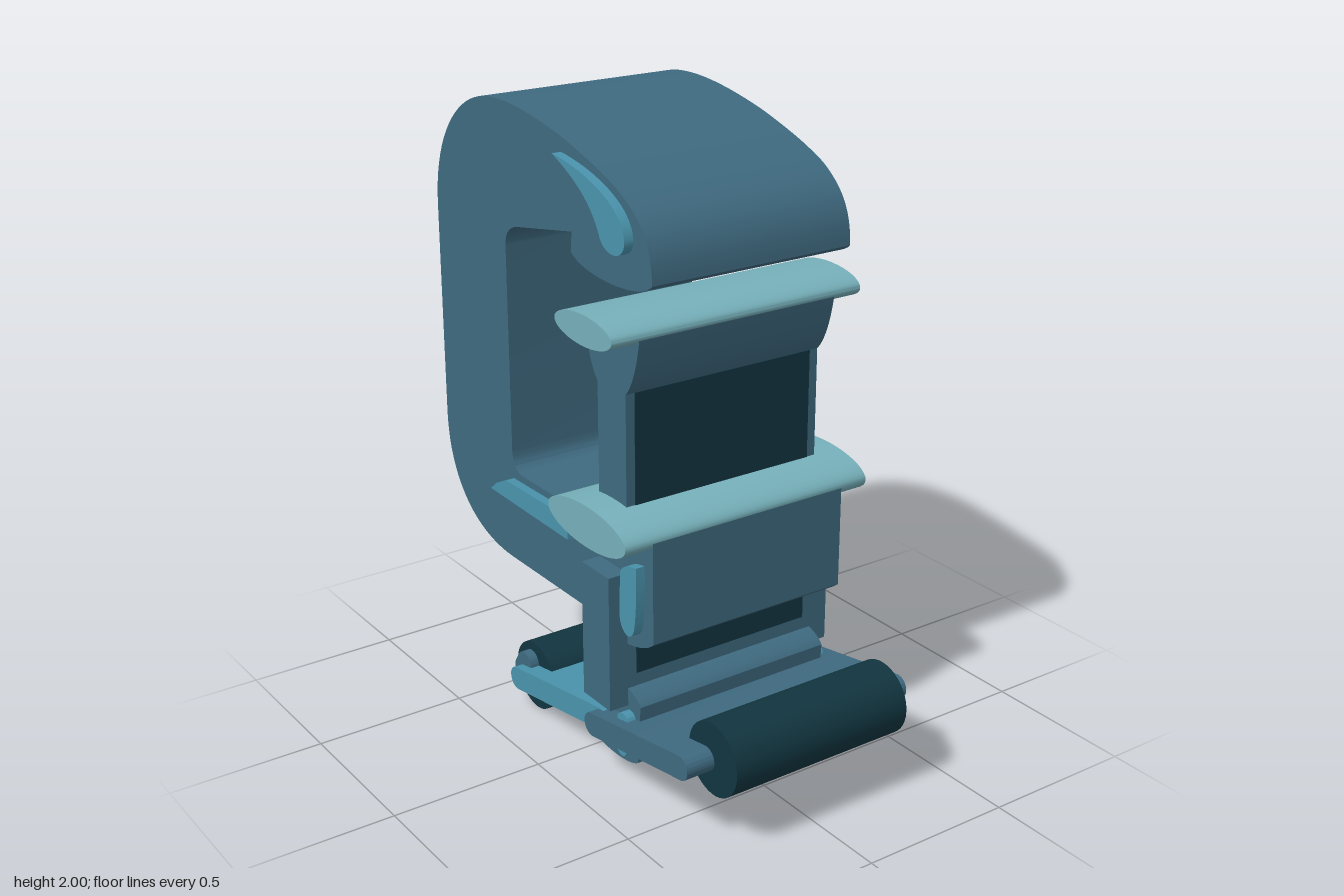
import * as THREE from 'three';
import { toCreasedNormals } from 'three/addons/utils/BufferGeometryUtils.js';

const material = (color) => new THREE.MeshStandardMaterial({ color });

export function createModel() {
  const group = new THREE.Group();
  const steel = material(0x3f6a80), dark = material(0x123540);
  const light = material(0x4a94ad), pale = material(0x76b0ba);

  // Extrude a front outline evenly to both sides of z = 0
  function slab(name, shape, halfDepth, mat) {
    let geo = new THREE.ExtrudeGeometry(shape, { depth: halfDepth * 2, bevelEnabled: false, curveSegments: 20 });
    geo.translate(0, 0, -halfDepth);
    geo = toCreasedNormals(geo, 0.5);
    const mesh = new THREE.Mesh(geo, mat);
    mesh.name = name;
    group.add(mesh);
  }
  const polygon = (pts) => new THREE.Shape(pts.map(([x, y]) => new THREE.Vector2(x, y)));
  const ellipse = (x, y, rx, ry) => new THREE.Shape().absellipse(x, y, rx, ry, 0, Math.PI * 2, false, 0);
  const rect = (x0, y0, x1, y1) => polygon([[x0, y0], [x1, y0], [x1, y1], [x0, y1]]);
  // Bar with round ends
  function bar(x0, y0, x1, y1, r) {
    const a = Math.atan2(y1 - y0, x1 - x0), q = Math.PI / 2;
    const s = new THREE.Shape();
    s.absarc(x1, y1, r, a - q, a + q, false);
    s.absarc(x0, y0, r, a + q, a + 3 * q, false);
    s.closePath();
    return s;
  }

  // C-shaped frame with the threaded boss
  const c = new THREE.Shape();
  c.moveTo(0.025, 0.525);
  c.lineTo(-0.38, 0.525);
  c.bezierCurveTo(-0.63, 0.525, -0.78, 0.67, -0.78, 0.9);
  c.lineTo(-0.78, 1.6);
  c.bezierCurveTo(-0.78, 1.84, -0.61, 2.0, -0.4, 2.0);
  c.bezierCurveTo(-0.29, 2.005, -0.14, 1.98, 0, 1.945);
  c.bezierCurveTo(0.26, 1.87, 0.405, 1.82, 0.408, 1.63);
  c.bezierCurveTo(0.35, 1.57, 0.06, 1.575, 0.002, 1.63);
  c.lineTo(0.008, 1.69);
  c.lineTo(-0.29, 1.635);
  c.quadraticCurveTo(-0.365, 1.62, -0.365, 1.56);
  c.lineTo(-0.365, 0.9);
  c.quadraticCurveTo(-0.365, 0.83, -0.3, 0.83);
  c.lineTo(0.002, 0.83);
  c.lineTo(0.002, 0.875);
  c.lineTo(0.408, 0.875);
  c.lineTo(0.408, 0.55);
  c.bezierCurveTo(0.34, 0.48, 0.13, 0.475, 0.025, 0.525);
  slab('frame', c, 0.345, steel);

  // Raised accents on the frame
  const jaw = new THREE.Shape();
  jaw.moveTo(-0.04, 1.91);
  jaw.bezierCurveTo(0.08, 1.9, 0.31, 1.85, 0.32, 1.74);
  jaw.bezierCurveTo(0.325, 1.68, 0.23, 1.67, 0.2, 1.72);
  jaw.bezierCurveTo(0.16, 1.81, 0.08, 1.86, -0.04, 1.91);
  slab('jawAccent', jaw, 0.375, light);
  slab('armAccent', polygon([[-0.455, 0.745], [0, 0.737], [0, 0.81], [-0.36, 0.805], [-0.42, 0.775]]), 0.375, light);
  const boss = new THREE.Shape();
  boss.moveTo(0.365, 0.785);
  boss.quadraticCurveTo(0.29, 0.775, 0.283, 0.74);
  boss.lineTo(0.277, 0.61);
  boss.bezierCurveTo(0.28, 0.54, 0.345, 0.53, 0.355, 0.59);
  boss.quadraticCurveTo(0.37, 0.68, 0.365, 0.785);
  slab('bossAccent', boss, 0.375, light);

  // Screw: flared head, lower shaft and dark core
  const head = new THREE.Shape();
  head.moveTo(0.132, 0.85);
  head.lineTo(0.275, 0.85);
  head.lineTo(0.275, 1.28);
  head.quadraticCurveTo(0.325, 1.33, 0.347, 1.47);
  head.lineTo(0.063, 1.47);
  head.quadraticCurveTo(0.085, 1.33, 0.132, 1.28);
  slab('screw', head, 0.345, steel);
  slab('lowerScrew', rect(0.132, 0.29, 0.275, 0.727), 0.41, steel);
  slab('screwCore', rect(0.131, 0.39, 0.277, 1.28), 0.315, dark);

  // Pale elliptical pads
  slab('screwPad', ellipse(0.205, 1.47, 0.145, 0.046), 0.44, pale);
  slab('bossTop', ellipse(0.205, 0.875, 0.204, 0.065), 0.44, pale);

  // Collar at the foot of the screw
  const collar = new THREE.Shape();
  collar.moveTo(0.07, 0.115);
  collar.bezierCurveTo(0.12, 0.08, 0.28, 0.08, 0.325, 0.115);
  collar.lineTo(0.34, 0.31);
  collar.bezierCurveTo(0.3, 0.37, 0.12, 0.37, 0.07, 0.31);
  collar.closePath();
  slab('collar', collar, 0.345, steel);
  slab('collarAccent', bar(0.282, 0.16, 0.288, 0.25, 0.028), 0.375, light);

  // Tommy bar with its end knobs
  slab('leftKnob', ellipse(-0.31, 0.117, 0.115, 0.115), 0.315, dark);
  slab('rightKnob', ellipse(0.66, 0.285, 0.115, 0.115), 0.315, dark);
  slab('leftKnobRim', bar(-0.35, 0.13, -0.33, 0.16, 0.04), 0.345, steel);
  slab('leftHandle', bar(-0.33, 0.115, 0.17, 0.2, 0.038), 0.375, light);
  slab('rightHandle', bar(0.17, 0.195, 0.63, 0.275, 0.038), 0.41, steel);

  return group;
}
